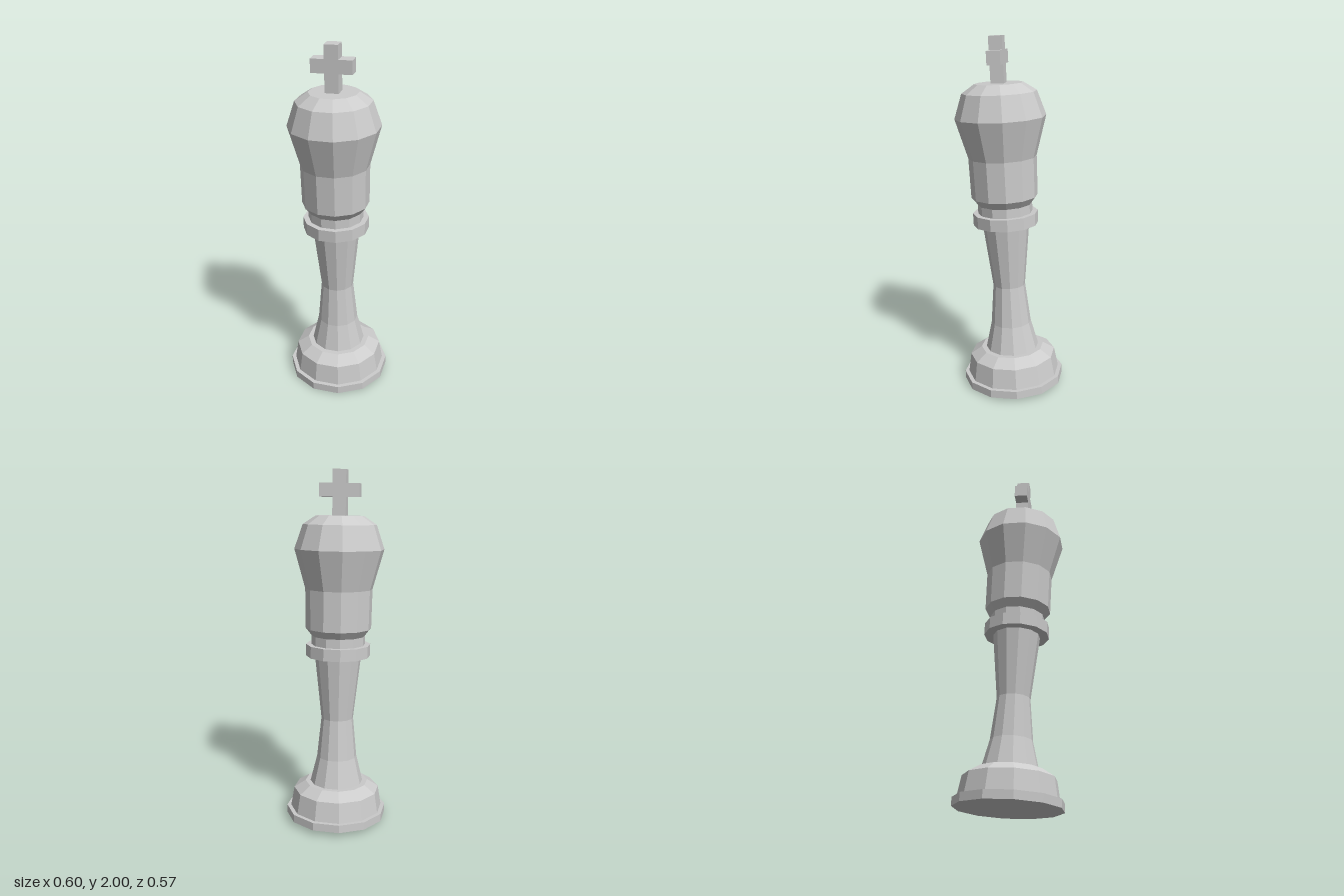
import * as THREE from 'three';

const SIDES = 12;
const PHASE = THREE.MathUtils.degToRad(19.5);

export function createModel() {
  const model = new THREE.Group();
  model.name = 'chessKing';
  const material = new THREE.MeshStandardMaterial({ color: 0xcccccc, flatShading: true });

  const add = (name, geometry) => {
    const mesh = new THREE.Mesh(geometry, material);
    mesh.name = name;
    model.add(mesh);
    return mesh;
  };

  // Faceted turned part from [radius, height] pairs, bottom to top
  const turned = (name, profile) => add(name, new THREE.LatheGeometry(
    profile.map(([r, h]) => new THREE.Vector2(r, h)), SIDES, PHASE));

  // Foot: thin flange and sloped shoulder
  turned('base', [[0, 0], [0.29, 0], [0.29, 0.045], [0.267, 0.045],
    [0.248, 0.158], [0.182, 0.2], [0, 0.2]]);

  // Waisted stem
  turned('stem', [[0.153, 0.2], [0.115, 0.355], [0.092, 0.588], [0.132, 0.955]]);

  // Ring under the head
  turned('collar', [[0, 0.955], [0.183, 0.955], [0.183, 1.022], [0, 1.022]]);

  // Neck, flared head and domed top
  turned('head', [[0.153, 1.022], [0.153, 1.073], [0.186, 1.115], [0.189, 1.337],
    [0.25, 1.556], [0.204, 1.69], [0.133, 1.737], [0, 1.737]]);

  // Cross finial, built from a plus-shaped outline
  const w = 0.037, arm = 0.11, low = 1.73, armLow = 1.837, armHigh = 1.91, top = 1.983;
  const half = [[w, low], [w, armLow], [arm, armLow], [arm, armHigh], [w, armHigh], [w, top]];
  const outline = [...half, ...half.map(([x, y]) => [-x, y]).reverse()];
  const shape = new THREE.Shape(outline.map(([x, y]) => new THREE.Vector2(x, y)));
  const cross = add('cross', new THREE.ExtrudeGeometry(shape, { depth: 2 * w, bevelEnabled: false })
    .translate(0, 0, -w));
  cross.rotation.y = -THREE.MathUtils.degToRad(53.9);

  // The whole piece leans slightly on the rim of its foot
  model.quaternion.setFromUnitVectors(new THREE.Vector3(0, 1, 0),
    new THREE.Vector3(-0.0431, 1, 0.0255).normalize());
  model.position.set(0.015, 0.0143, -0.004);

  const root = new THREE.Group();
  root.name = 'king';
  root.add(model);
  return root;
}
